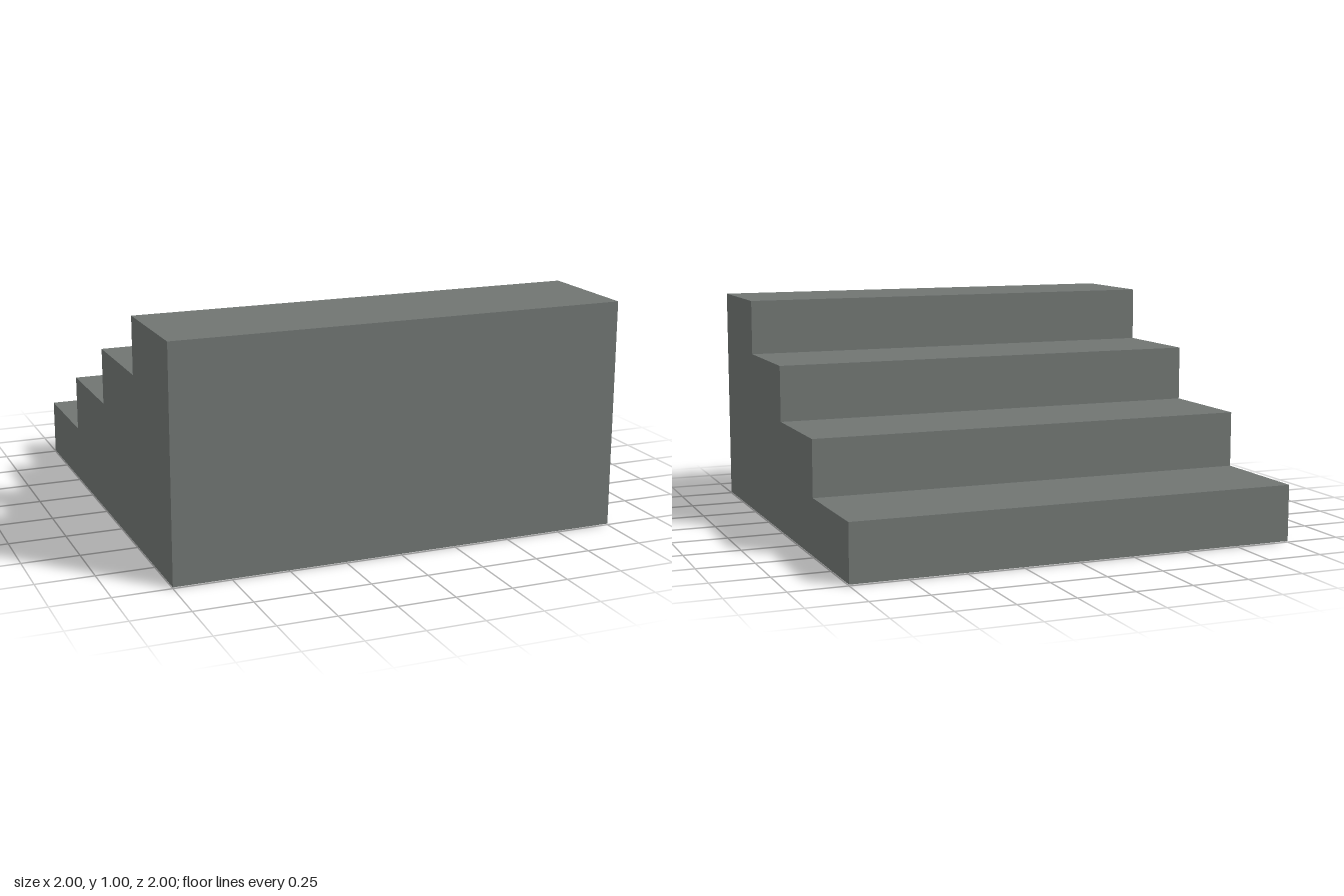
import * as THREE from 'three';

const BASE = 0.005; // the strips lift the block by this much

export function createModel() {
  const group = new THREE.Group();
  const stone = new THREE.MeshStandardMaterial({ color: 0x707572 });
  stone.name = 'grey stone';
  const dark = new THREE.MeshStandardMaterial({ color: 0x453e35 });
  dark.name = 'dark brown';

  // Stair block: stepped side profile (z, y), extruded across x
  const steps = 4, run = 0.5, rise = 0.25;
  const profile = new THREE.Shape();
  profile.moveTo(1, 0);
  profile.lineTo(1, steps * rise);
  for (let i = steps; i > 0; i--) {
    const z = -1 + (i - 1) * run;
    profile.lineTo(z, i * rise);
    profile.lineTo(z, (i - 1) * rise);
  }
  const blockGeometry = new THREE.ExtrudeGeometry(profile, { depth: 2, bevelEnabled: false });
  blockGeometry.rotateY(-Math.PI / 2);
  blockGeometry.translate(1, BASE, 0);
  const block = new THREE.Mesh(blockGeometry, stone);
  block.name = 'stairBlock';
  group.add(block);

  // Three thin slanted strips on the underside
  const dx = 0.4, dz = 1.7;
  const stripGeometry = new THREE.BoxGeometry(0.014, 0.008, Math.hypot(dx, dz));
  for (let i = 0; i < 3; i++) {
    const strip = new THREE.Mesh(stripGeometry, dark);
    strip.name = 'undersideStrip' + (i + 1);
    strip.position.set(0.2 - i * 0.4, 0.004, -0.05);
    strip.rotation.y = Math.atan2(dx, dz);
    group.add(strip);
  }
  return group;
}
